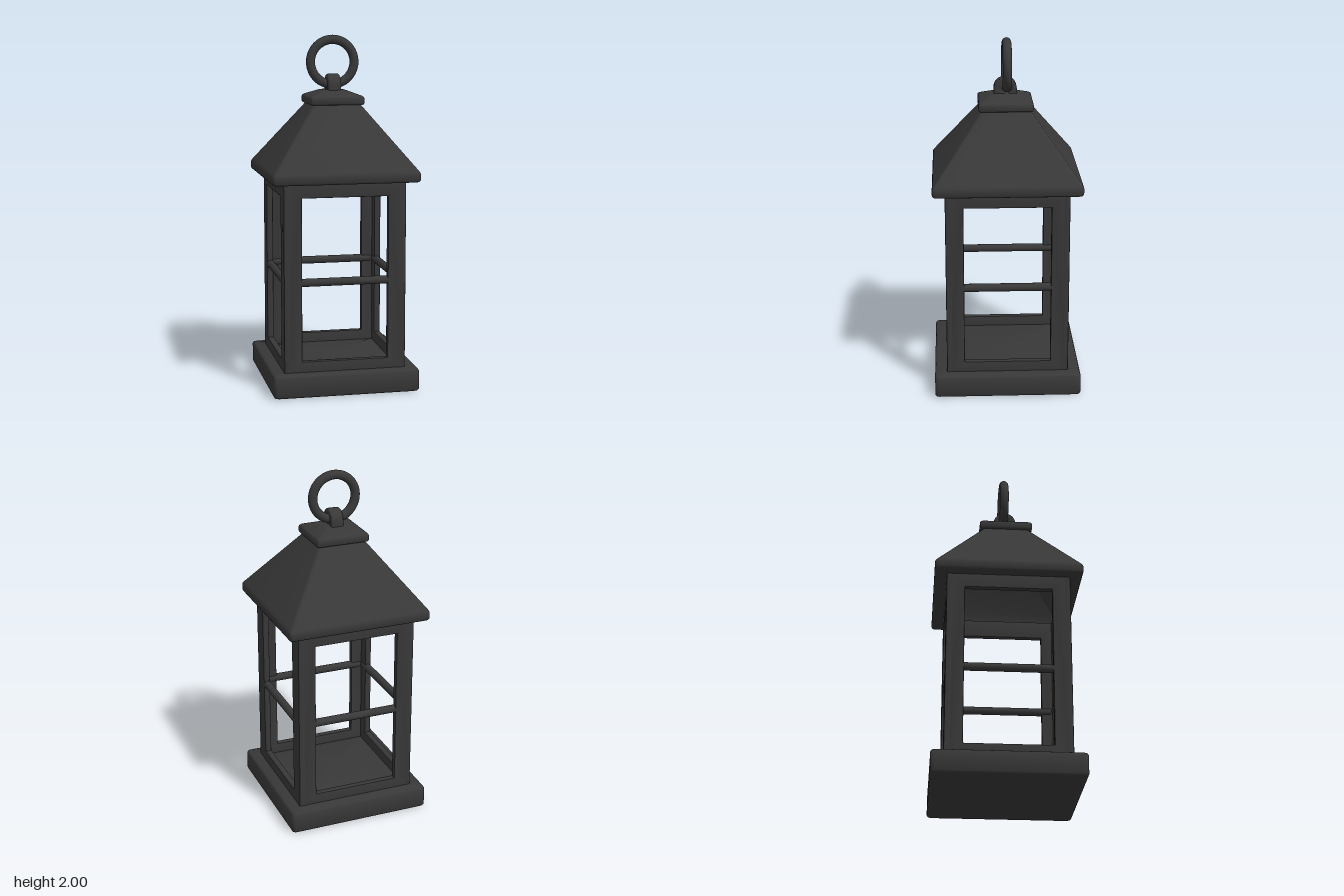
import * as THREE from 'three';
import { toCreasedNormals } from 'three/addons/utils/BufferGeometryUtils.js';

// Stacks rounded-square rings given as [half width, height] along a profile
function squareLoft(levels, corner = 0.02, steps = 4) {
  const positions = [], index = [], n = 4 * (steps + 1);
  for (const [half, y] of levels) {
    const r = Math.min(corner, half);
    for (let q = 0; q < 4; q++) {
      const cx = (q === 0 || q === 3 ? 1 : -1) * (half - r);
      const cz = (q < 2 ? 1 : -1) * (half - r);
      for (let s = 0; s <= steps; s++) {
        const a = (q + s / steps) * Math.PI / 2;
        positions.push(cx + r * Math.cos(a), y, cz + r * Math.sin(a));
      }
    }
  }
  for (let l = 0; l < levels.length - 1; l++) {
    for (let i = 0; i < n; i++) {
      const a = l * n + i, b = l * n + (i + 1) % n;
      index.push(a, a + n, b, b, a + n, b + n);
    }
  }
  const g = new THREE.BufferGeometry();
  g.setAttribute('position', new THREE.Float32BufferAttribute(positions, 3));
  g.setIndex(index);
  return toCreasedNormals(g, 0.85);
}

// Closed rectangle outline for shapes and holes
function rectangle(path, half, bottom, top) {
  path.moveTo(-half, bottom);
  path.lineTo(half, bottom);
  path.lineTo(half, top);
  path.lineTo(-half, top);
  path.closePath();
  return path;
}

export function createModel() {
  const lantern = new THREE.Group();
  lantern.name = 'lantern';
  const metal = new THREE.MeshStandardMaterial({ color: 0x383838 });
  metal.name = 'dark metal';

  const add = (parent, name, geometry, x = 0, y = 0, z = 0) => {
    const mesh = new THREE.Mesh(geometry, metal);
    mesh.name = name;
    mesh.position.set(x, y, z);
    parent.add(mesh);
  };

  // Base slab
  add(lantern, 'base', squareLoft([
    [0, 0], [0.403, 0], [0.412, 0.004], [0.417, 0.013],
    [0.417, 0.117], [0.412, 0.126], [0.403, 0.13], [0, 0.13],
  ]));

  // Four thin open window frames, each with a round crossbar
  const outline = rectangle(new THREE.Shape(), 0.342, 0.115, 1.215);
  outline.holes.push(rectangle(new THREE.Path(), 0.251, 0.184, 1.121));
  const frame = toCreasedNormals(new THREE.ExtrudeGeometry(outline, {
    depth: 0.026, bevelEnabled: true, bevelThickness: 0.006, bevelSize: 0.006, bevelSegments: 2,
  }), 0.6);
  const crossbar = new THREE.CylinderGeometry(0.023, 0.023, 0.6, 16).rotateZ(Math.PI / 2);
  for (let i = 0; i < 4; i++) {
    const side = new THREE.Group();
    side.name = 'windowSide';
    side.rotation.y = i * Math.PI / 2;
    add(side, 'windowFrame', frame, 0, 0, 0.316);
    add(side, 'crossbar', crossbar, 0, 0.638, 0.325);
    lantern.add(side);
  }

  // Hollow hipped roof with a short eave, from the inside out
  add(lantern, 'roof', squareLoft([
    [0, 1.57], [0.115, 1.57], [0.335, 1.28], [0.335, 1.195],
    [0.403, 1.195], [0.412, 1.199], [0.417, 1.208],
    [0.417, 1.24], [0.414, 1.25], [0.405, 1.262], [0.145, 1.6], [0.13, 1.62], [0, 1.62],
  ]));

  // Roof cap with sloped top
  add(lantern, 'roofCap', squareLoft([
    [0, 1.61], [0.144, 1.61], [0.151, 1.613], [0.154, 1.621],
    [0.154, 1.646], [0.151, 1.654], [0.143, 1.66], [0.07, 1.688], [0.05, 1.692], [0, 1.692],
  ], 0.012));

  // Arched lug that holds the ring
  const arch = new THREE.Shape();
  arch.moveTo(-0.056, 1.665);
  arch.lineTo(0.056, 1.665);
  arch.lineTo(0.056, 1.715);
  arch.absarc(0, 1.715, 0.056, 0, Math.PI, false);
  arch.closePath();
  const eye = new THREE.Path();
  eye.absarc(0.008, 1.719, 0.034, 0, Math.PI * 2, true);
  arch.holes.push(eye);
  const lug = new THREE.ExtrudeGeometry(arch, {
    depth: 0.052, bevelEnabled: true, bevelThickness: 0.01, bevelSize: 0.009,
    bevelSegments: 3, curveSegments: 20,
  }).translate(0, 0, -0.026).rotateY(Math.PI / 2);
  add(lantern, 'ringLug', toCreasedNormals(lug, 0.6));

  // Carrying ring
  add(lantern, 'carryingRing', new THREE.TorusGeometry(0.127, 0.026, 16, 56), 0, 1.847, -0.008);

  return lantern;
}
